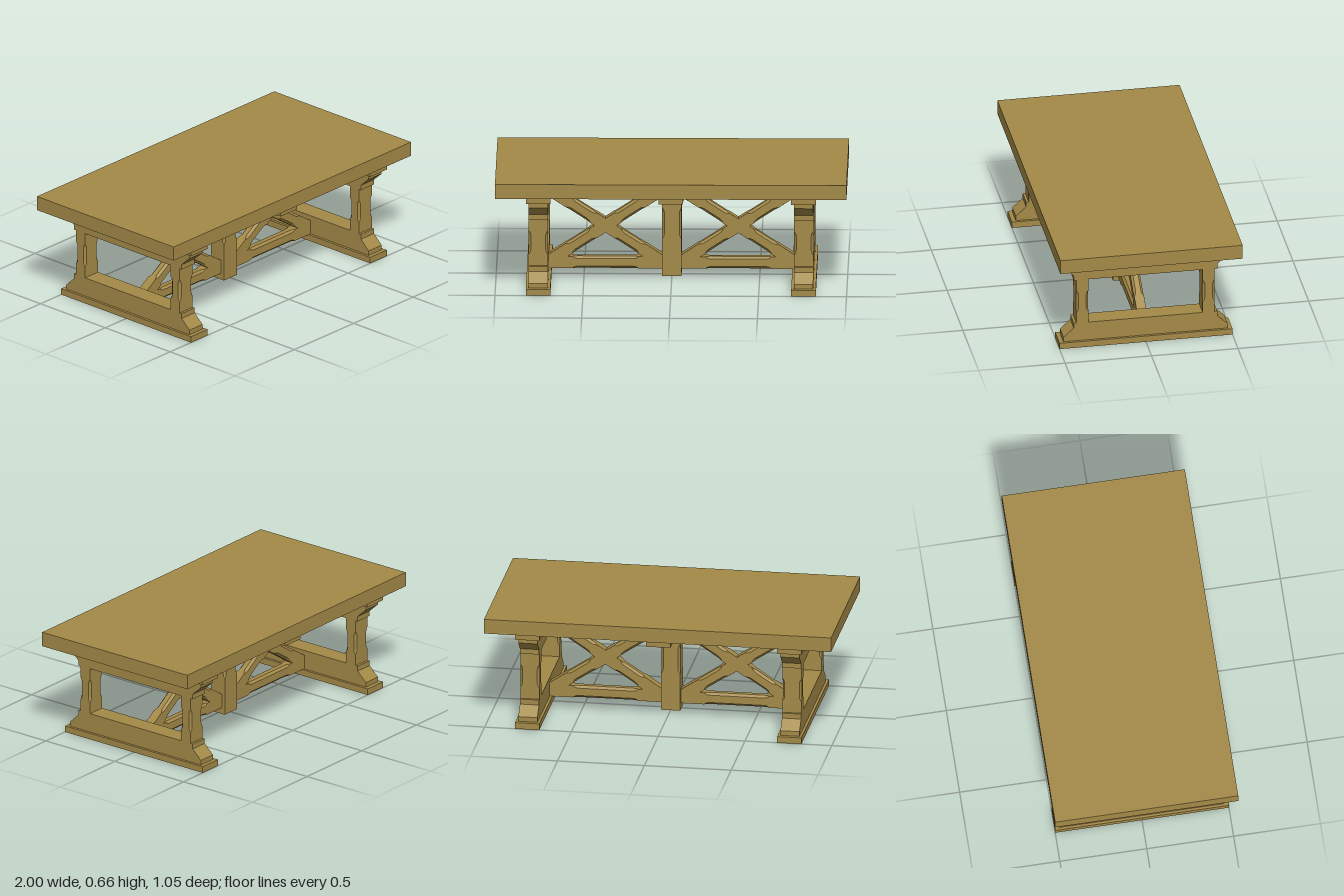
import * as THREE from 'three';

const wood = new THREE.MeshStandardMaterial({ color: 0xa48a48, flatShading: true });

function add(parent, name, geometry, x = 0, y = 0, z = 0) {
  const mesh = new THREE.Mesh(geometry, wood);
  mesh.name = name;
  mesh.position.set(x, y, z);
  parent.add(mesh);
  return mesh;
}

function box(parent, name, w, h, d, x, y, z) {
  return add(parent, name, new THREE.BoxGeometry(w, h, d), x, y, z);
}

// Upright timber (along y, centred) whose corners are chamfered within the given ranges of y
function timber(w, d, length, ranges, c = 0.013, taper = 0.03) {
  const eps = 0.0002;
  const stops = [[-length / 2, eps]];
  for (const [a, b] of ranges) {
    stops.push([a, eps], [a + taper * 0.5, c * 0.75], [a + taper, c]);
    stops.push([b - taper, c], [b - taper * 0.5, c * 0.75], [b, eps]);
  }
  stops.push([length / 2, eps]);

  const pos = [], index = [];
  const hw = w / 2, hd = d / 2, n = 8;
  for (const [y, k] of stops) {
    const ring = [
      [hw, hd - k], [hw - k, hd], [k - hw, hd], [-hw, hd - k],
      [-hw, k - hd], [k - hw, -hd], [hw - k, -hd], [hw, k - hd],
    ];
    for (const [x, z] of ring) pos.push(x, y, z);
  }
  for (let i = 0; i < stops.length - 1; i++) {
    for (let j = 0; j < n; j++) {
      const a = i * n + j, b = i * n + (j + 1) % n;
      index.push(a, a + n, b, b, a + n, b + n);
    }
  }
  const last = (stops.length - 1) * n;
  for (let j = 1; j < n - 1; j++) {
    index.push(0, j, j + 1, last, last + j + 1, last + j);
  }
  const g = new THREE.BufferGeometry();
  g.setAttribute('position', new THREE.Float32BufferAttribute(pos, 3));
  g.setIndex(index);
  g.computeVertexNormals();
  return g;
}

// Cross beam with sloped shoulders, wide edge down, extruded across x
function shoulderBeam() {
  const half = [[0.475, 0], [0.475, 0.028], [0.415, 0.083], [0.415, 0.113]];
  const outline = [...half, ...half.map(([z, y]) => [-z, y]).reverse()];
  const shape = new THREE.Shape(outline.map(([z, y]) => new THREE.Vector2(z, y)));
  const g = new THREE.ExtrudeGeometry(shape, { depth: 0.11, bevelEnabled: false });
  g.translate(0, 0, -0.055);
  g.rotateY(-Math.PI / 2);
  return g;
}

// Trestle: foot board, lower beam, two legs, upper beam and cleat
function trestle() {
  const g = new THREE.Group();
  box(g, 'footBoard', 0.14, 0.037, 1.0, 0, 0.0185, 0);
  add(g, 'lowerBeam', shoulderBeam(), 0, 0.037, 0);
  const upper = add(g, 'upperBeam', shoulderBeam(), 0, 0.538, 0);
  upper.rotation.z = Math.PI;
  box(g, 'topCleat', 0.14, 0.037, 1.0, 0, 0.5565, 0);
  for (const s of [1, -1]) {
    add(g, 'leg', timber(0.11, 0.07, 0.275, [[-0.07, 0.07]]), 0, 0.2875, s * 0.365);
  }
  return g;
}

// Bay between post and trestle: crossed braces and a bottom stretcher
function braceBay() {
  const g = new THREE.Group();
  const dx = 0.665, dy = 0.436;
  const length = Math.hypot(dx, dy), angle = Math.atan2(dx, dy);
  for (const s of [1, -1]) {
    const brace = add(g, 'diagonalBrace',
      timber(0.07, 0.056, length, [[-0.25, -0.08], [0.08, 0.25]]), 0, 0.29, 0);
    brace.rotation.z = s * angle;
  }
  const stretcher = add(g, 'stretcher', timber(0.07, 0.056, 0.66, [[-0.19, 0.19]]), 0, 0.073, 0);
  stretcher.rotation.z = Math.PI / 2;
  return g;
}

export function createModel() {
  const model = new THREE.Group();
  model.name = 'trestleTable';

  box(model, 'tableTop', 2, 0.085, 1.054, 0, 0.6175, 0);

  // Middle support and the boards under the top
  add(model, 'centrePost', timber(0.11, 0.1, 0.54, [[-0.05, 0.13]]), 0, 0.27, 0);
  box(model, 'centreCleat', 0.14, 0.037, 1.0, 0, 0.5565, 0);

  for (const s of [1, -1]) {
    const end = trestle();
    end.name = s > 0 ? 'leftTrestle' : 'rightTrestle';
    end.position.x = s * 0.755;
    model.add(end);

    const bay = braceBay();
    bay.name = s > 0 ? 'leftBraces' : 'rightBraces';
    bay.position.x = s * 0.378;
    model.add(bay);

    box(model, 'topRail', 0.615, 0.037, 0.14, s * 0.3775, 0.5565, 0);
  }
  return model;
}
